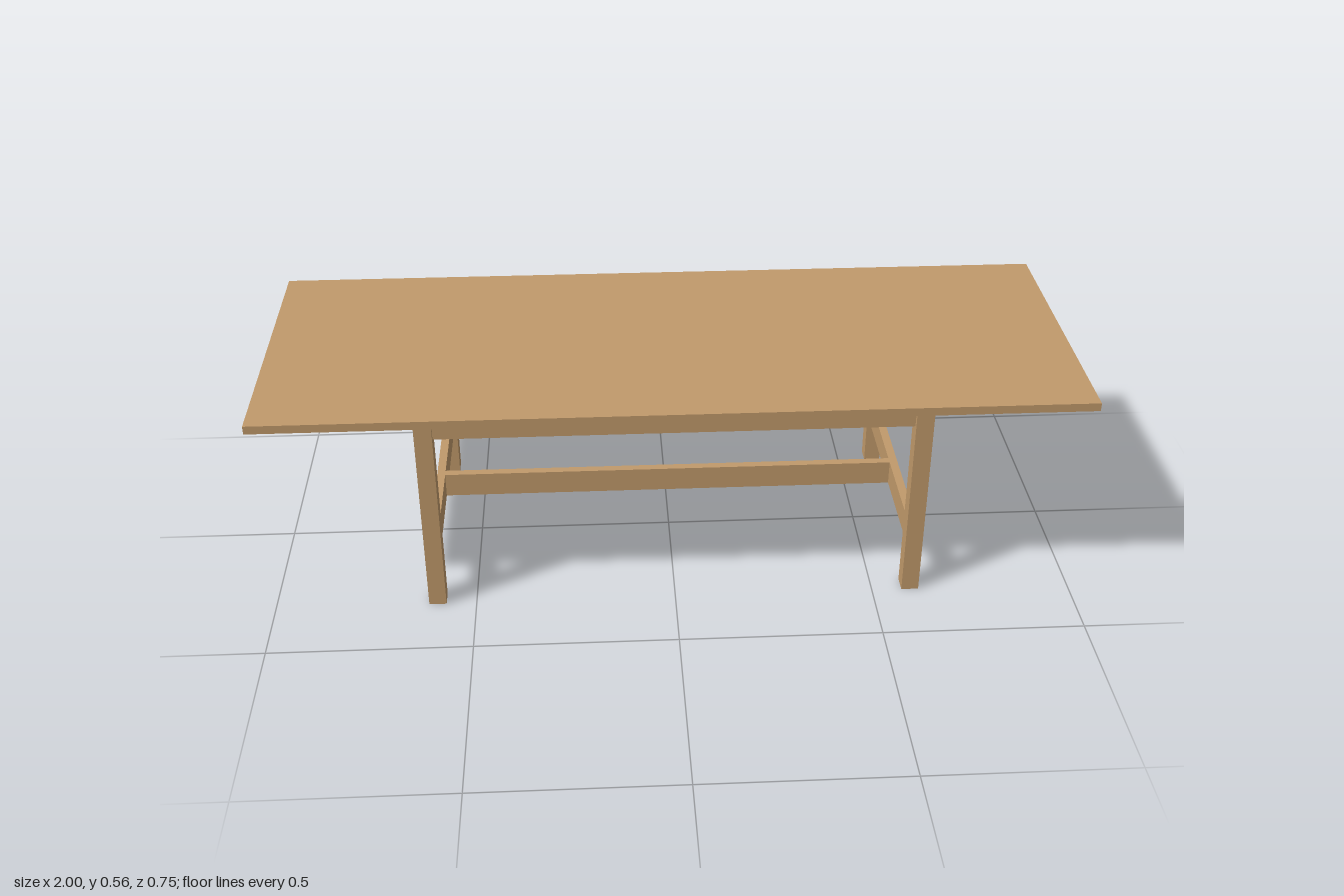
import * as THREE from 'three';

export function createModel() {
  const model = new THREE.Group();
  model.name = 'diningTable';
  const wood = new THREE.MeshStandardMaterial({ color: 0xc19a6b });

  const topY = 0.564, topThick = 0.021;
  const legSize = 0.043, legX = 0.597, legZ = 0.306;
  const legHeight = topY - topThick;
  const railHeight = 0.064, railThick = 0.021;
  const apronY = legHeight - railHeight / 2;
  const stretcherY = 0.147;

  function addBox(name, w, h, d, x, y, z) {
    const mesh = new THREE.Mesh(new THREE.BoxGeometry(w, h, d), wood);
    mesh.name = name;
    mesh.position.set(x, y, z);
    model.add(mesh);
  }

  // Table top
  addBox('tableTop', 2, topThick, 0.75, 0, topY - topThick / 2, 0);

  const longSpan = 2 * legX - legSize;
  const endSpan = 2 * legZ - legSize;
  for (const s of [-1, 1]) {
    const side = s > 0 ? 'left' : 'right';
    const face = s > 0 ? 'front' : 'back';

    // Legs
    for (const t of [-1, 1]) {
      addBox(side + (t > 0 ? 'Front' : 'Back') + 'Leg', legSize, legHeight, legSize,
        s * legX, legHeight / 2, t * legZ);
    }

    // Aprons centred on the legs
    addBox(face + 'Apron', longSpan, railHeight, railThick, 0, apronY, s * legZ);
    addBox(side + 'Apron', railThick, railHeight, endSpan, s * legX, apronY, 0);

    // Low end stretchers
    addBox(side + 'Stretcher', railThick, railHeight, endSpan, s * legX, stretcherY, 0);
  }

  // Long stretcher joining the end stretchers
  addBox('centreStretcher', 2 * legX - railThick, railHeight, railThick, 0, stretcherY, 0);

  return model;
}
